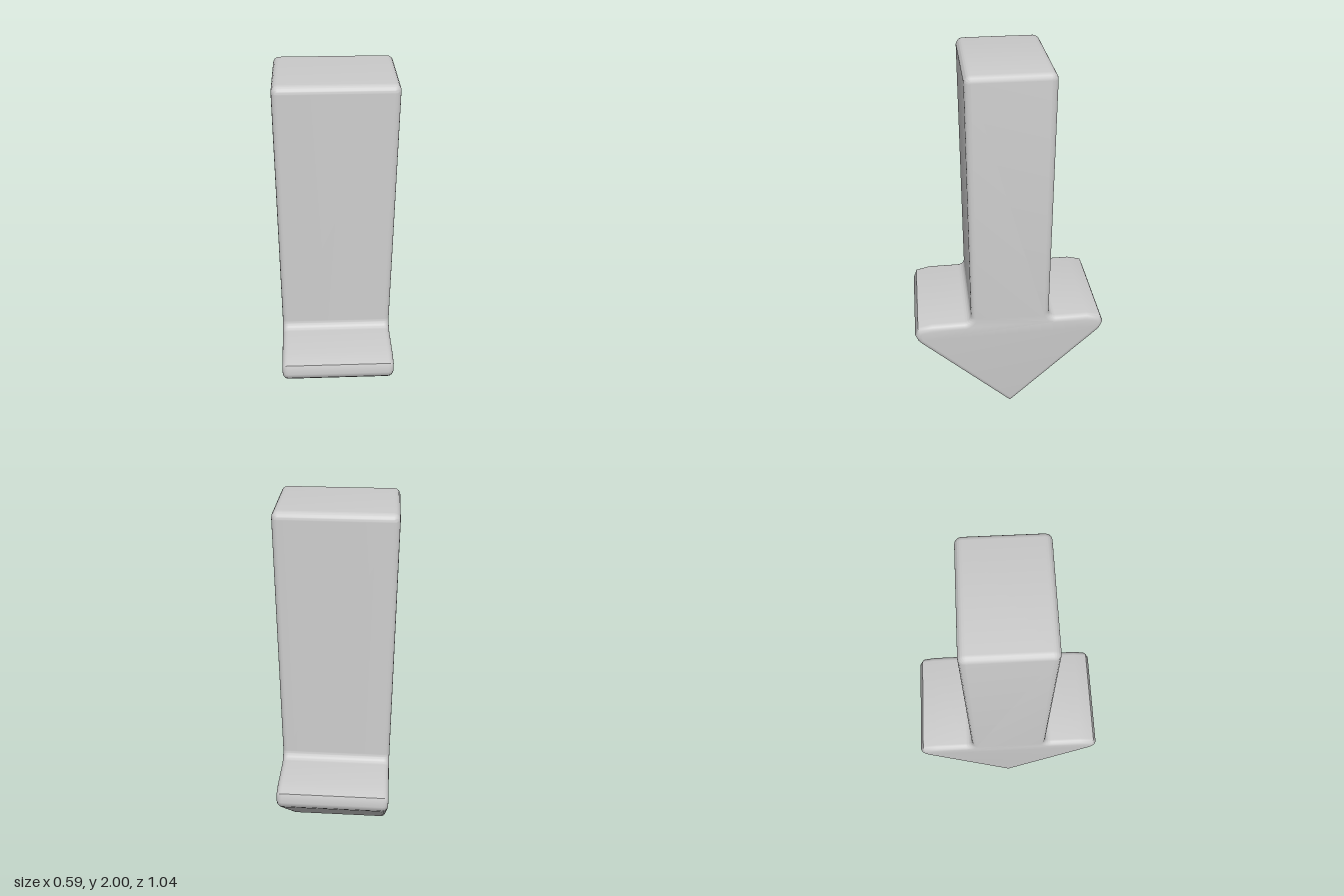
import * as THREE from 'three';
import { toCreasedNormals } from 'three/addons/utils/BufferGeometryUtils.js';

const WIDTH = 0.586, HALF_SHAFT = 0.212, TOP = 2, SHOULDER = 0.615;
const ROUND = 0.035, FILLET = 0.04, BEVEL = 0.03;

// Side outline of the arrow: x is depth, y is height
function arrowOutline() {
  const s = new THREE.Shape();
  const barb = [[0.485, 0.49], [0.503, 0.512], [0.518, 0.55], [0.5, 0.596], [0.425, SHOULDER]];
  s.moveTo(0, 0);
  barb.forEach(([z, y]) => s.lineTo(z, y));
  // fillet into the shaft, then the rounded top corners
  s.absarc(HALF_SHAFT + FILLET, SHOULDER + FILLET, FILLET, -Math.PI / 2, -Math.PI, true);
  s.absarc(HALF_SHAFT - ROUND, TOP - ROUND, ROUND, 0, Math.PI / 2, false);
  s.absarc(-HALF_SHAFT + ROUND, TOP - ROUND, ROUND, Math.PI / 2, Math.PI, false);
  s.absarc(-HALF_SHAFT - FILLET, SHOULDER + FILLET, FILLET, 0, -Math.PI / 2, true);
  barb.reverse().forEach(([z, y]) => s.lineTo(-z, y));
  s.closePath();
  return s;
}

export function createModel() {
  const group = new THREE.Group();
  group.name = 'downArrow';

  // Thick arrow with softly rounded side edges
  const depth = WIDTH - 2 * BEVEL;
  const geo = new THREE.ExtrudeGeometry(arrowOutline(), {
    depth, curveSegments: 5, bevelEnabled: true, bevelSegments: 4,
    bevelSize: BEVEL, bevelThickness: BEVEL, bevelOffset: -BEVEL,
  });
  geo.translate(0, 0, -depth / 2);
  geo.rotateY(Math.PI / 2);
  geo.deleteAttribute('uv');

  const arrow = new THREE.Mesh(
    toCreasedNormals(geo, 0.9),
    new THREE.MeshStandardMaterial({ color: 0xcccccc })
  );
  arrow.name = 'arrowBody';
  group.add(arrow);
  return group;
}
